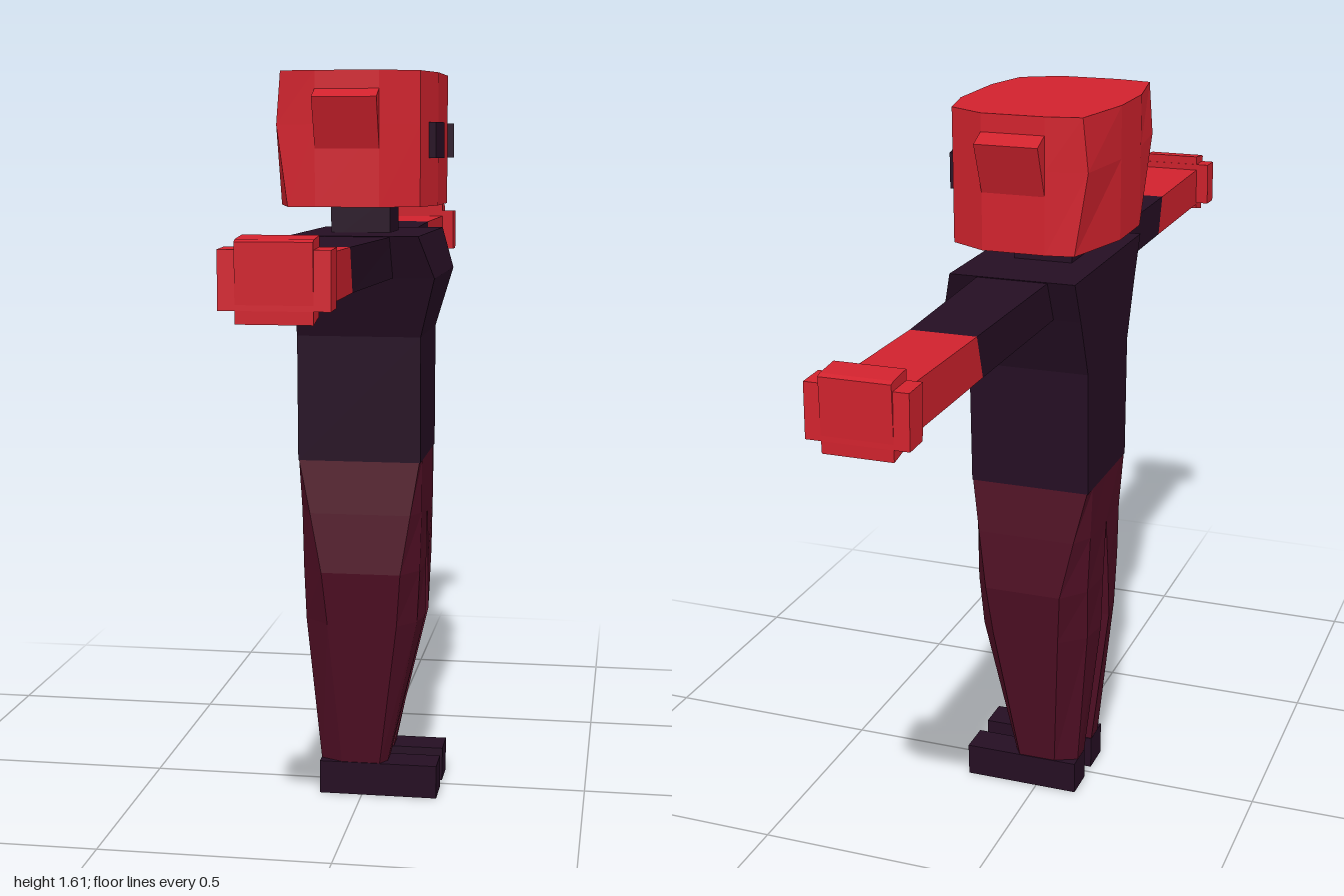
import * as THREE from 'three';

const material = (name, color) => {
  const m = new THREE.MeshStandardMaterial({ color, flatShading: true });
  m.name = name;
  return m;
};

// Lofts rings of { y, pts: [[x, z], ...] } from bottom to top, with flat faces and end caps.
function loft(rings) {
  const area = (p) => p.reduce((a, [x, z], i) => {
    const [x2, z2] = p[(i + 1) % p.length];
    return a + x * z2 - x2 * z;
  }, 0);
  const loops = rings.map(({ y, pts }) => {
    const p = area(pts) > 0 ? [...pts].reverse() : pts;
    return p.map(([x, z]) => [x, y, z]);
  });
  const out = [];
  const tri = (a, b, c) => out.push(...a, ...b, ...c);
  const n = loops[0].length;
  for (let r = 0; r < loops.length - 1; r++) {
    const a = loops[r], b = loops[r + 1];
    for (let i = 0; i < n; i++) {
      const j = (i + 1) % n;
      tri(a[i], a[j], b[j]);
      tri(a[i], b[j], b[i]);
    }
  }
  const top = loops[loops.length - 1], bottom = loops[0];
  for (let i = 1; i < n - 1; i++) {
    tri(top[0], top[i], top[i + 1]);
    tri(bottom[0], bottom[i + 1], bottom[i]);
  }
  const g = new THREE.BufferGeometry();
  g.setAttribute('position', new THREE.Float32BufferAttribute(out, 3));
  g.computeVertexNormals();
  return g;
}

// Extrudes a [z, y] outline along x, on the side s of the body.
function sidePrism(points, x0, x1, s) {
  const shape = new THREE.Shape(points.map(([z, y]) => new THREE.Vector2(-z * s, y)));
  const g = new THREE.ExtrudeGeometry(shape, { depth: x1 - x0, bevelEnabled: false });
  return g.rotateY(Math.PI / 2).translate(x0, 0, 0);
}

// Completes half an outline by mirroring it across z = 0.
const mirrorZ = (half) => [...half, ...[...half].reverse().map(([x, z]) => [x, -z])];

export function createModel() {
  const group = new THREE.Group();
  const red = material('red skin', 0xd0222d);
  const dark = material('dark cloth', 0x250e23);
  const maroon = material('maroon trousers', 0x4e0e23);
  const add = (name, geometry, mat) => {
    const mesh = new THREE.Mesh(geometry, mat);
    mesh.name = name;
    group.add(mesh);
    return mesh;
  };

  // Head, facing +x
  add('head', loft([
    { y: 1.33, pts: mirrorZ([[0.165, 0.09], [0.14, 0.2], [0.06, 0.245], [-0.075, 0.245], [-0.135, 0.235], [-0.18, 0.07]]) },
    { y: 1.5, pts: mirrorZ([[0.165, 0.09], [0.14, 0.2], [0.06, 0.245], [-0.075, 0.245], [-0.16, 0.225], [-0.18, 0.07]]) },
    { y: 1.61, pts: mirrorZ([[0.165, 0.09], [0.14, 0.2], [0.06, 0.245], [-0.075, 0.245], [-0.15, 0.23], [-0.18, 0.07]]) },
  ]), red);

  // Neck
  const neck = add('neck', new THREE.BoxGeometry(0.13, 0.1, 0.13), dark);
  neck.position.set(-0.007, 1.3, 0);

  // Torso with a raised chest and broad shoulders
  const slab = (y, front, z) => ({ y, pts: mirrorZ([[front, z], [-0.135, z]]) });
  add('torso', loft([
    slab(0.775, 0.135, 0.135), slab(1.05, 0.135, 0.14),
    slab(1.18, 0.17, 0.19), slab(1.27, 0.14, 0.23),
  ]), dark);

  for (const s of [1, -1]) {
    const side = s > 0 ? 'right' : 'left';

    // Wedge ear and eye
    add(side + 'Ear', sidePrism([[0.23, 1.575], [0.247, 1.572], [0.286, 1.555], [0.245, 1.45], [0.23, 1.45]], -0.075, 0.06, s), red);
    const eye = add(side + 'Eye', new THREE.BoxGeometry(0.024, 0.075, 0.055), dark);
    eye.position.set(0.161, 1.468, 0.122 * s);
    eye.rotation.y = -0.22 * s;

    // Sleeve, widening slightly towards the shoulder
    const sleeve = sidePrism([[0.12, 1.18], [0.59, 1.18], [0.617, 1.268], [0.12, 1.268]], -0.075, 0.06, s);
    const p = sleeve.attributes.position;
    for (let i = 0; i < p.count; i++) {
      if (p.getX(i) > 0 && Math.abs(p.getZ(i)) < 0.3) p.setX(i, 0.085);
    }
    sleeve.computeVertexNormals();
    add(side + 'Sleeve', sleeve, dark);

    // Bare forearm and cross-shaped fist
    add(side + 'Forearm', sidePrism([[0.59, 1.18], [0.95, 1.178], [0.95, 1.27], [0.617, 1.268]], -0.075, 0.06, s), red);
    add(side + 'FistCore', sidePrism([[0.947, 1.167], [0.997, 1.157], [1, 1.296], [0.99, 1.3], [0.937, 1.305]], -0.075, 0.06, s), red);
    add(side + 'FistSides', sidePrism([[0.945, 1.182], [0.998, 1.18], [0.995, 1.283], [0.937, 1.285]], -0.105, 0.09, s), red);

    // Trouser leg: front inner, front outer, outer front, outer back, back outer, back inner
    const leg = (y, pts) => ({ y, pts: pts.map(([x, z]) => [x, z * s]) });
    add(side + 'Leg', loft([
      leg(0.07, [[0.055, 0.027], [0.055, 0.075], [0.04, 0.098], [-0.045, 0.098], [-0.095, 0.075], [-0.095, 0.027]]),
      leg(0.41, [[0.135, 0.03], [0.125, 0.1], [0.085, 0.147], [-0.07, 0.147], [-0.125, 0.1], [-0.135, 0.03]]),
      leg(0.53, [[0.135, 0.018], [0.132, 0.11], [0.095, 0.165], [-0.08, 0.165], [-0.128, 0.11], [-0.135, 0.018]]),
      leg(0.66, [[0.135, 0], [0.135, 0.105], [0.115, 0.15], [-0.107, 0.15], [-0.132, 0.105], [-0.135, 0]]),
      leg(0.775, [[0.135, 0], [0.135, 0.1], [0.133, 0.135], [-0.133, 0.135], [-0.135, 0.1], [-0.135, 0]]),
    ]), maroon);

    // Shoe
    add(side + 'Shoe', sidePrism([[0.023, 0], [0.099, 0], [0.101, 0.076], [0.025, 0.076]], -0.096, 0.17, s), dark);
  }

  return group;
}
